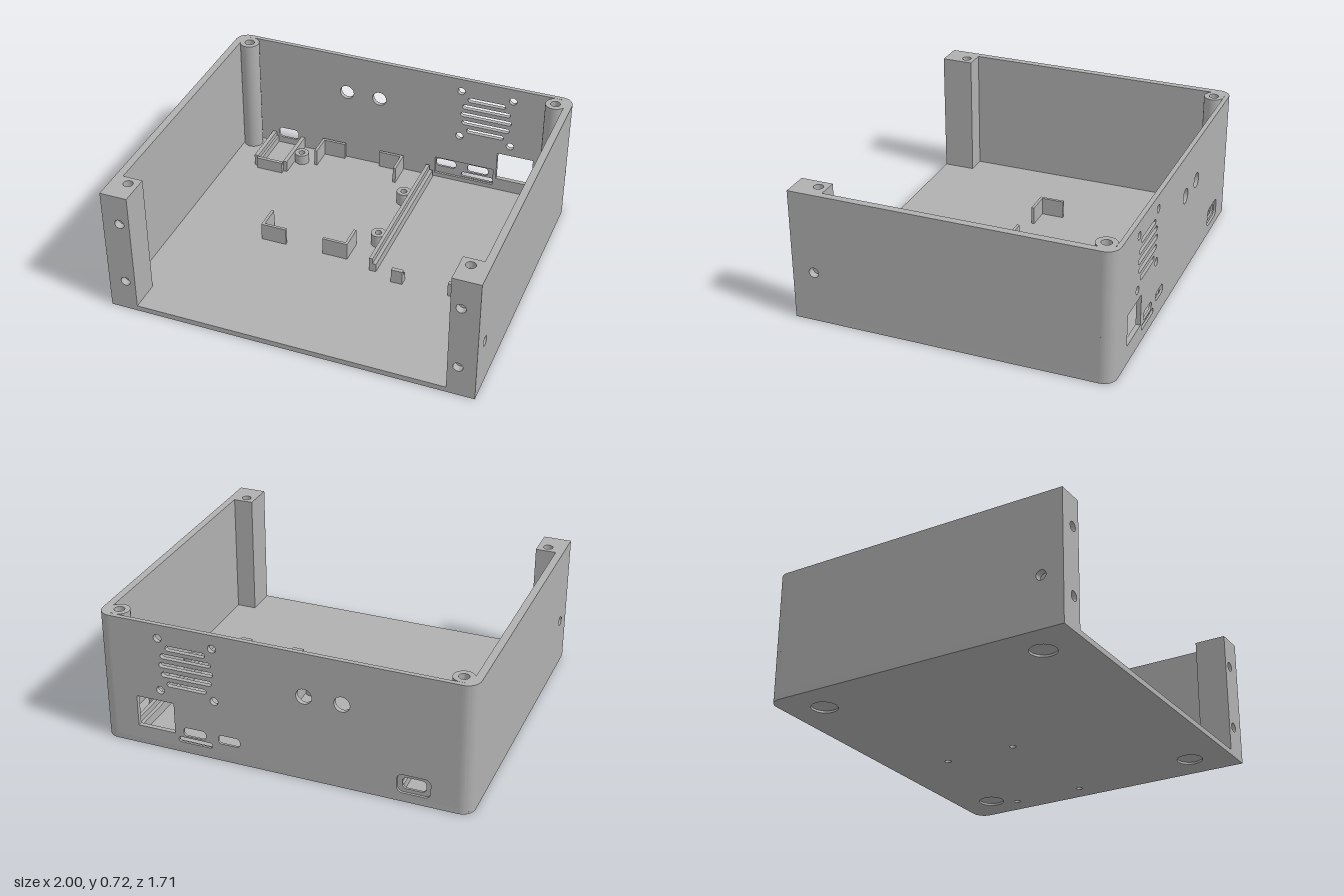
import * as THREE from 'three';
import { toCreasedNormals } from 'three/addons/utils/BufferGeometryUtils.js';

const grey = new THREE.MeshStandardMaterial({ color: 0xb0b0b0 });
grey.name = 'casing grey';

const W = 1, D = 0.855, H = 0.72, FLOOR = 0.03, SIDE = 0.04, R = 0.07;
const BACK_INNER = -0.83;

// Outline helpers
const rect = (x0, y0, x1, y1, C = THREE.Shape) => new C([[x0, y0], [x1, y0], [x1, y1], [x0, y1]].map(p => new THREE.Vector2(...p)));
const box2 = (x0, y0, x1, y1) => rect(x0, y0, x1, y1, THREE.Path);
const circle = (x, y, r, C = THREE.Path) => new C().absarc(x, y, r, 0, Math.PI * 2, false);
function slot(x0, y0, x1, y1, r = (y1 - y0) / 2) {
  const p = new THREE.Path();
  p.absarc(x1 - r, y0 + r, r, -Math.PI / 2, 0, false);
  p.absarc(x1 - r, y1 - r, r, 0, Math.PI / 2, false);
  p.absarc(x0 + r, y1 - r, r, Math.PI / 2, Math.PI, false);
  p.absarc(x0 + r, y0 + r, r, Math.PI, Math.PI * 1.5, false);
  p.closePath();
  return p;
}

export function createModel() {
  const root = new THREE.Group();
  root.name = 'enclosureBase';

  const add = (name, geo) => {
    const m = new THREE.Mesh(geo, grey);
    m.name = name;
    root.add(m);
    return m;
  };
  const extrude = (shape, holes, depth) => {
    shape.holes.push(...holes);
    return new THREE.ExtrudeGeometry(shape, { depth, bevelEnabled: false, curveSegments: 12 });
  };
  const finish = geo => toCreasedNormals(geo, 0.6);
  // Plan outline (x, z) standing between two heights
  const plan = (name, shape, holes, y0, y1) =>
    add(name, finish(extrude(shape, holes, y1 - y0).rotateX(Math.PI / 2).translate(0, y1, 0)));
  // Front outline (x, y) between two depths
  const upright = (name, shape, holes, z0, z1) =>
    add(name, finish(extrude(shape, holes, z1 - z0).translate(0, 0, z0)));
  const block = (name, x0, x1, y0, y1, z0, z1) =>
    add(name, new THREE.BoxGeometry(x1 - x0, y1 - y0, z1 - z0)
      .translate((x0 + x1) / 2, (y0 + y1) / 2, (z0 + z1) / 2));

  // Floor in two layers, with foot recesses below and screw holes through
  const floorShape = () => {
    const s = new THREE.Shape();
    s.moveTo(-W, D);
    s.lineTo(-W, -D + R);
    s.absarc(-W + R, -D + R, R, Math.PI, Math.PI * 1.5, false);
    s.absarc(W - R, -D + R, R, -Math.PI / 2, 0, false);
    s.lineTo(W, D);
    s.closePath();
    return s;
  };
  const screws = [[0.14, -0.52], [0.14, -0.105], [0.88, -0.52], [0.88, -0.105]];
  const screwHoles = () => screws.map(([x, z]) => circle(x, z, 0.018));
  const feet = [[-0.8, -0.65], [0.8, -0.65], [-0.8, 0.63], [0.8, 0.63]].map(([x, z]) => circle(x, z, 0.07));
  plan('floorUnderside', floorShape(), [...screwHoles(), ...feet], 0, 0.012);
  plan('floor', floorShape(), screwHoles(), 0.012, FLOOR);

  // Back wall, outer and inner layers so that port recesses have depth
  const vents = () => {
    const v = [[0.4, 0.62, 0.595], [0.37, 0.65, 0.545], [0.36, 0.66, 0.493], [0.37, 0.65, 0.44], [0.4, 0.62, 0.388]]
      .map(([a, b, y]) => slot(a, y - 0.014, b, y + 0.014));
    for (const x of [0.36, 0.66]) for (const y of [0.343, 0.643]) v.push(circle(x, y, 0.022));
    for (const x of [-0.328, -0.128]) v.push(circle(x, 0.48, 0.042));
    v.push(box2(0.59, 0.105, 0.8, 0.28));
    return v;
  };
  const wall = () => rect(-W + R, FLOOR, W - R, H);
  upright('backWallOuter', wall(), [...vents(),
    slot(0.225, 0.1, 0.345, 0.15, 0.02), slot(0.415, 0.1, 0.54, 0.15, 0.02),
    slot(0.38, 0.06, 0.57, 0.09, 0.014), slot(-0.79, 0.05, -0.615, 0.155, 0.03)], -D, -0.8425);
  upright('backWallInner', wall(), [...vents(),
    box2(0.222, 0.055, 0.572, 0.162), slot(-0.765, 0.07, -0.64, 0.135, 0.025)], -0.8425, BACK_INNER);

  for (const s of [-1, 1]) {
    const side = s < 0 ? 'right' : 'left';
    const span = (a, b) => (s > 0 ? [a, b] : [-b, -a]);

    // Side wall with two screw holes
    const [wx0, wx1] = span(W - SIDE, W);
    add(side + 'Wall', finish(extrude(rect(-D + R, FLOOR, D, H),
      [circle(0.735, 0.28, 0.027), circle(-0.77, 0.28, 0.027)], wx1 - wx0)
      .rotateY(-Math.PI / 2).translate(wx1, 0, 0)));

    // Rounded rear corner and its screw pillar
    const corner = new THREE.Shape();
    corner.moveTo(s * (W - R), BACK_INNER);
    corner.lineTo(s * (W - R), -D);
    corner.absarc(s * (W - R), -D + R, R, -Math.PI / 2, s > 0 ? 0 : -Math.PI, s < 0);
    corner.lineTo(s * (W - SIDE), -D + R);
    corner.closePath();
    plan(side + 'RearCorner', corner, [], FLOOR, H);
    plan(side + 'RearPillar', circle(s * 0.91, -0.775, 0.055, THREE.Shape),
      [circle(s * 0.91, -0.775, 0.027)], FLOOR, H);

    // Front post: solid core with drilled front and top
    const [px0, px1] = span(0.85, W - SIDE);
    block(side + 'PostCore', px0, px1, FLOOR, H - 0.04, 0.68, 0.815);
    plan(side + 'PostTop', rect(px0, 0.68, px1, 0.815), [circle(s * 0.905, 0.73, 0.026)], H - 0.04, H);
    upright(side + 'PostFront', rect(px0, FLOOR, px1, H),
      [circle(s * 0.905, 0.55, 0.026), circle(s * 0.905, 0.18, 0.026)], 0.815, D);
  }

  // Screw bosses
  for (const [x, z, top] of [...screws.map(p => [...p, 0.105]), [-0.56, -0.69, 0.09]])
    plan('screwBoss', circle(x, z, 0.041, THREE.Shape), [circle(x, z, 0.018)], FLOOR, top);

  // Stepped board rails, taller on their outer half
  for (const [x, s] of [[0.195, -1], [0.825, 1]]) {
    const [a, b] = [x + s * 0.02, x - s * 0.02];
    block('railLip', Math.min(x, a), Math.max(x, a), FLOOR, 0.112, -0.81, 0.135);
    block('railLedge', Math.min(x, b), Math.max(x, b), FLOOR, 0.08, -0.81, 0.135);
  }
  // Stepped stops in front of the board
  for (const x of [0.35, 0.668]) {
    block('stopLip', x - 0.032, x + 0.032, FLOOR, 0.112, 0.163, 0.186);
    block('stopLedge', x - 0.032, x + 0.032, FLOOR, 0.08, 0.14, 0.163);
  }

  // Four angle brackets around the module bay
  for (const [x, sx] of [[-0.476, 1], [0.031, -1]])
    for (const [z, sz] of [[-0.82, 1], [0.09, -1]]) {
      const pts = [[0, 0], [0.145, 0], [0.145, 0.016], [0.016, 0.016], [0.016, 0.14], [0, 0.14]];
      plan('angleBracket', new THREE.Shape(pts.map(([u, v]) => new THREE.Vector2(x + sx * u, z + sz * v))),
        [], FLOOR, 0.13);
    }

  // Cradle behind the small rear port
  for (const s of [-1, 1]) {
    const c = -0.7025, at = (a, b) => [c + s * a, c + s * b].sort((p, q) => p - q);
    block('cradleSide', ...at(0.08, 0.103), FLOOR, 0.098, BACK_INNER, -0.555);
    block('cradleLedge', ...at(0.066, 0.08), FLOOR, 0.07, BACK_INNER, -0.555);
  }
  block('cradleFront', -0.78, -0.622, FLOOR, 0.098, -0.55, -0.53);
  block('cradleFrontLedge', -0.78, -0.622, FLOOR, 0.07, -0.56, -0.55);

  return root;
}
